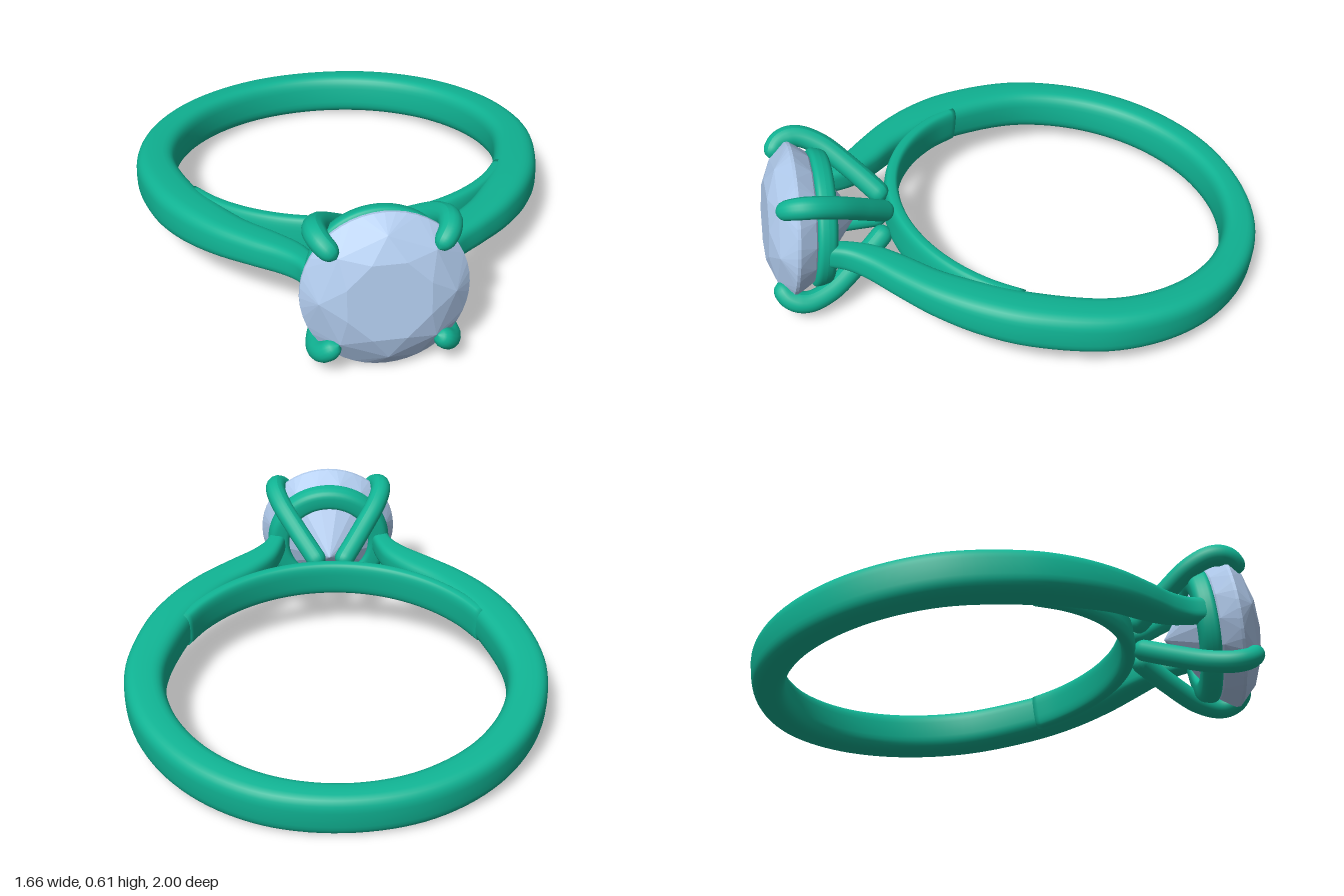
import * as THREE from 'three';
import { ConvexGeometry } from 'three/addons/geometries/ConvexGeometry.js';

const metal = new THREE.MeshStandardMaterial({ color: 0x10b494 });
const stone = new THREE.MeshStandardMaterial({ color: 0xb0caec, flatShading: true });

function add(parent, name, geometry, material) {
  const mesh = new THREE.Mesh(geometry, material);
  mesh.name = name;
  parent.add(mesh);
}

// Rounded-rectangle outline (superellipse), from -1 to 1 both ways
function roundedPoint(angle, power = 3.2) {
  const c = Math.cos(angle), s = Math.sin(angle);
  return [
    Math.sign(c) * Math.abs(c) ** (2 / power),
    Math.sign(s) * Math.abs(s) ** (2 / power),
  ];
}

// Band between an inner and an outer curve; the y of the inner curve is the half height
function bandGeometry(inner, outer, steps, sides = 32) {
  const inCurve = new THREE.CatmullRomCurve3(inner);
  const outCurve = new THREE.CatmullRomCurve3(outer);
  const pos = [], index = [];
  const ends = [];
  for (let i = 0; i <= steps; i++) {
    const a = inCurve.getPoint(i / steps), b = outCurve.getPoint(i / steps);
    const h = a.y;
    a.y = b.y = 0;
    if (i === 0 || i === steps) ends.push(a.clone().lerp(b, 0.5));
    for (let j = 0; j < sides; j++) {
      const [u, v] = roundedPoint((j / sides) * Math.PI * 2);
      const p = a.clone().lerp(b, (u + 1) / 2);
      pos.push(p.x, v * h, p.z);
    }
  }
  const start = pos.length / 3;
  ends.forEach((p) => pos.push(p.x, p.y, p.z));
  for (let j = 0; j < sides; j++) {
    const k = (j + 1) % sides, last = steps * sides;
    for (let i = 0; i < steps; i++) {
      const r = i * sides, n = r + sides;
      index.push(r + j, n + j, r + k, n + j, n + k, r + k);
    }
    index.push(start, j, k, start + 1, last + k, last + j);
  }
  const g = new THREE.BufferGeometry();
  g.setAttribute('position', new THREE.Float32BufferAttribute(pos, 3));
  g.setIndex(index);
  g.computeVertexNormals();
  return g;
}

// Round wire with rounded ends, slimmer towards the tip
function prongGeometry(points, radius) {
  const curve = new THREE.CatmullRomCurve3(points);
  const n = 64, sides = 16;
  const g = new THREE.TubeGeometry(curve, n, radius, sides);
  const pos = g.attributes.position, v = new THREE.Vector3();
  for (let i = 0; i <= n; i++) {
    const t = i / n, c = curve.getPointAt(t);
    const e = Math.min(1, Math.min(t, 1 - t) / 0.08);
    const f = Math.sqrt(1 - (1 - e) ** 2) * (t > 0.8 ? 1 - (t - 0.8) * 0.9 : 1);
    for (let j = 0; j <= sides; j++) {
      const k = i * (sides + 1) + j;
      v.fromBufferAttribute(pos, k).sub(c).multiplyScalar(f).add(c);
      pos.setXYZ(k, v.x, v.y, v.z);
    }
  }
  g.computeVertexNormals();
  return g;
}

export function createModel() {
  const model = new THREE.Group();
  model.name = 'ring';
  const tilted = new THREE.Group();
  tilted.name = 'tiltedRing';
  tilted.position.set(0, 0.183, -0.21);
  tilted.rotation.x = -0.122;
  model.add(tilted);

  // Shank: shoulders as [inner x, inner z, outer x, outer z, half height], then the round back
  const half = [
    [0.19, 0.98, 0.265, 1.0, 0.048],
    [0.21, 0.89, 0.288, 0.93, 0.052],
    [0.24, 0.81, 0.345, 0.86, 0.056],
    [0.315, 0.71, 0.45, 0.77, 0.061],
    [0.42, 0.6, 0.575, 0.65, 0.069],
    [0.51, 0.465, 0.69, 0.495, 0.079],
    [0.59, 0.307, 0.775, 0.31, 0.085],
  ];
  for (let k = 0; k < 4; k++) {
    const a = (k * Math.PI) / 8, c = Math.cos(a), s = -Math.sin(a);
    const r = 0.828 - 0.009 * k;
    half.push([0.665 * c, 0.665 * s, r * c, r * s, 0.0875]);
  }
  const back = [0, -0.665, 0, -0.792, 0.0875];
  const mirrored = half.map(([a, b, c, d, h]) => [-a, b, -c, d, h]).reverse();
  const stations = [...half, back, ...mirrored];
  add(tilted, 'shank', bandGeometry(
    stations.map(([x, z, , , h]) => new THREE.Vector3(x, h, z)),
    stations.map(([, , x, z]) => new THREE.Vector3(x, 0, z)), 160), metal);

  // Thin bridge that closes the finger hole under the stone
  const arc = (r, h) => Array.from({ length: 13 }, (_, i) => {
    const a = ((i / 6 - 1) * 62 * Math.PI) / 180;
    return new THREE.Vector3(r * Math.sin(a), h, r * Math.cos(a));
  });
  add(tilted, 'bridge', bandGeometry(arc(0.665, 0.076), arc(0.725, 0), 64), metal);

  // Collar that seats the stone
  const section = Array.from({ length: 25 }, (_, i) => {
    const [u, v] = roundedPoint((i / 24) * Math.PI * 2);
    return new THREE.Vector2(0.225 + 0.045 * u + 0.008 * v, 0.99 + 0.04 * v);
  });
  add(tilted, 'collar', new THREE.LatheGeometry(section, 64).rotateX(Math.PI / 2), metal);

  // Four prongs from the bridge out and over the edge of the stone
  for (const sx of [1, -1]) for (const sy of [1, -1]) {
    const path = [
      [0.04, 0.72], [0.135, 0.85], [0.21, 0.97], [0.235, 1.06], [0.222, 1.125], [0.175, 1.168],
    ].map(([d, z]) => new THREE.Vector3(sx * d, sy * d * 0.97, z));
    add(tilted, 'prong', prongGeometry(path, 0.043), metal);
  }

  // Brilliant-cut stone: rings of [count, radius, z, half-step turn]
  const points = [new THREE.Vector3(0, 0, 0.845)];
  const rings = [
    [8, 0.16, 1.2, 0.5], [8, 0.24, 1.168, 0], [48, 0.3, 1.11, 0],
    [48, 0.3, 1.098, 0], [16, 0.262, 1.035, 0.5],
  ];
  for (const [count, r, z, turn] of rings) {
    for (let i = 0; i < count; i++) {
      const a = ((i + turn) / count) * Math.PI * 2;
      points.push(new THREE.Vector3(r * Math.cos(a), r * Math.sin(a), z));
    }
  }
  add(tilted, 'gemstone', new ConvexGeometry(points), stone);
  return model;
}
